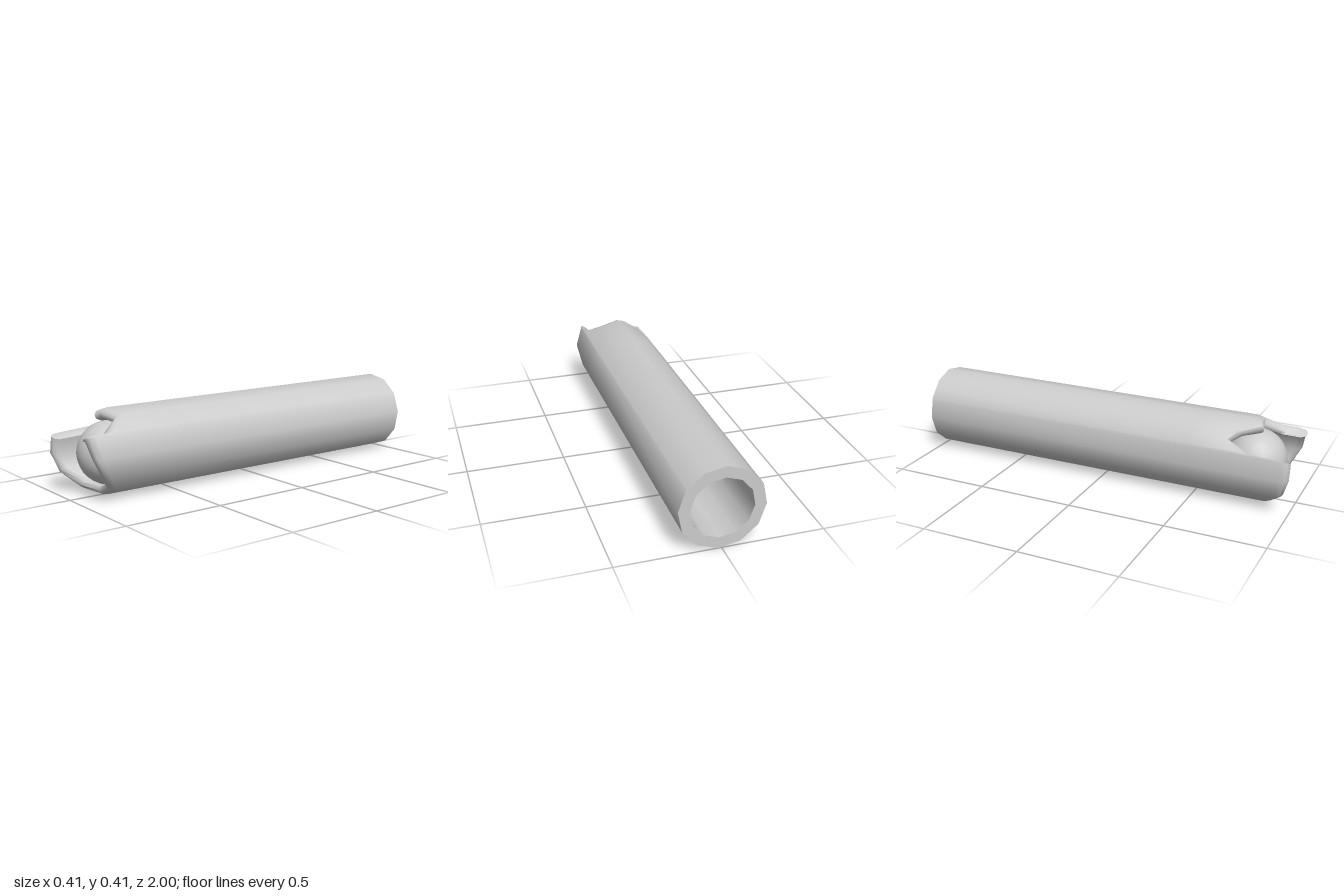
import * as THREE from 'three';
import { toCreasedNormals, mergeVertices } from 'three/addons/utils/BufferGeometryUtils.js';

const CY = 0.2075, R = 0.208, BORE = 0.152, PHASE = 4, STEP = 30;

// Broken front edge: [angle in degrees, z]
const RIM = [
  [38, 0.9], [64, 0.8], [94, 0.82], [106, 0.83], [124, 0.74], [138, 0.69], [154, 0.8],
  [158, 1], [184, 1], [214, 0.97], [244, 0.9], [274, 0.85], [304, 0.86],
  [334, 0.92], [364, 0.97], [394, 0.99], [396, 1], [398, 0.9],
];

// Point on a twelve-sided ring with corner radius r
function ringPoint(r, degrees, z) {
  const off = ((degrees - PHASE) % STEP) - STEP / 2;
  const rad = THREE.MathUtils.degToRad;
  const d = r * Math.cos(rad(STEP / 2)) / Math.cos(rad(off));
  return [d * Math.cos(rad(degrees)), CY + d * Math.sin(rad(degrees)), z];
}

// Cross-section of the wall, from the back outside, over the rim, to the back inside
const SECTION = [
  [R, () => -1], [R, () => 0.5], [R, z => z - 0.04], [R - 0.007, z => z - 0.012],
  [R - 0.024, z => z], [BORE + 0.012, z => z - 0.006], [BORE, z => z - 0.03],
  [BORE, () => 0.5], [BORE, () => -1], [R, () => -1],
];

function tubeGeometry() {
  const positions = [], index = [], n = SECTION.length;
  for (const [angle, z] of RIM)
    for (const [r, zAt] of SECTION) positions.push(...ringPoint(r, angle, zAt(z)));
  for (let i = 0; i < RIM.length - 1; i++)
    for (let j = 0; j < n - 1; j++) {
      const a = i * n + j, b = a + n;
      index.push(a, b, b + 1, a, b + 1, a + 1);
    }
  const g = new THREE.BufferGeometry();
  g.setAttribute('position', new THREE.Float32BufferAttribute(positions, 3));
  g.setIndex(index);
  return toCreasedNormals(mergeVertices(g), 1.0);
}

export function createModel() {
  const model = new THREE.Group();
  model.name = 'brokenTube';
  const material = new THREE.MeshStandardMaterial({ color: 0xcccccc });

  // Hollow tube with a jagged front edge
  const tube = new THREE.Mesh(tubeGeometry(), material);
  tube.name = 'tubeWall';
  model.add(tube);

  // Rounded core that shows through the broken end
  const core = new THREE.Mesh(new THREE.SphereGeometry(0.154, 24, 16), material);
  core.name = 'roundedCore';
  core.position.set(0, 0.2, 0.785);
  model.add(core);

  return model;
}
